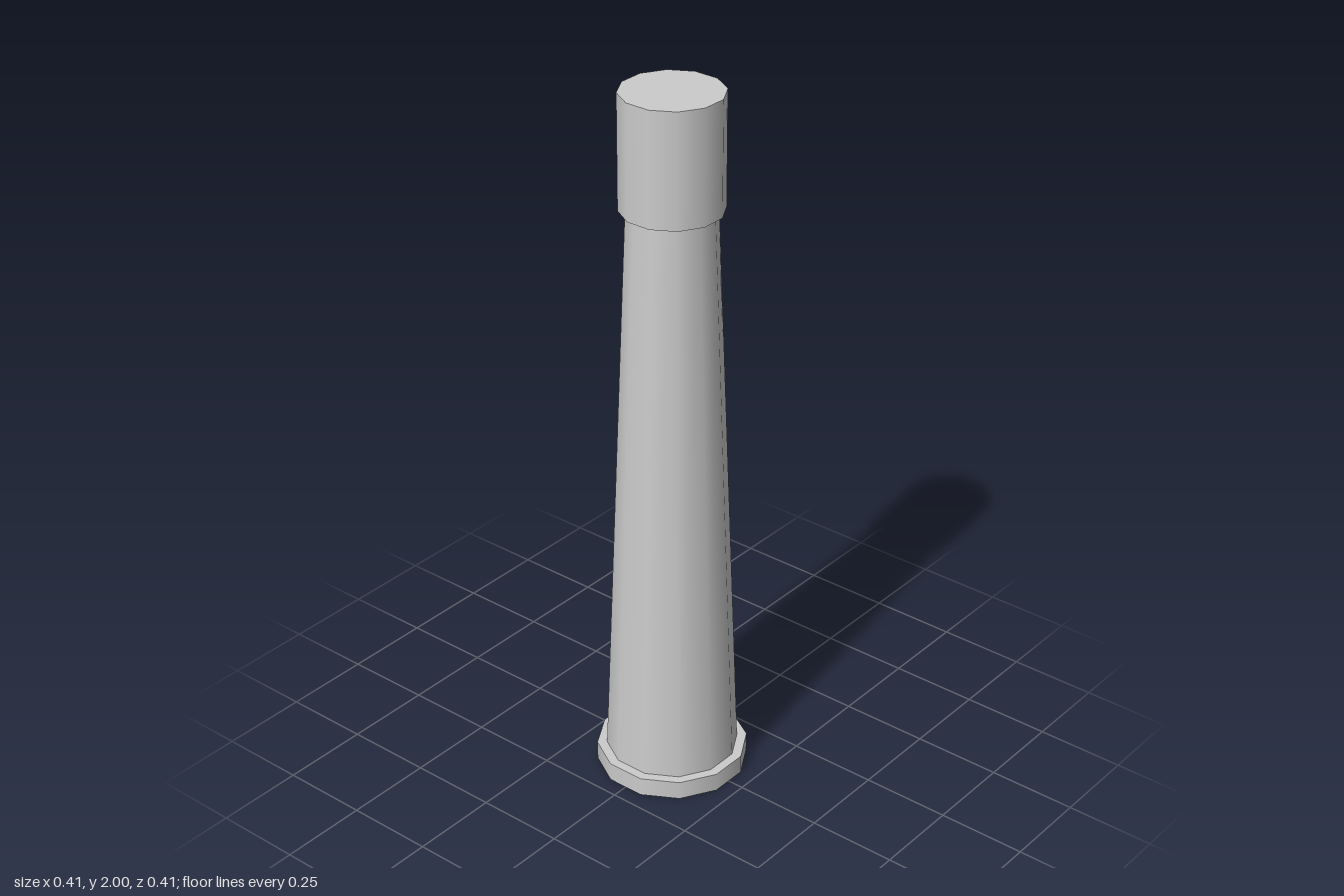
import * as THREE from 'three';

const SIDES = 12;
const material = new THREE.MeshStandardMaterial({ color: 0xcccccc });

// Twelve-sided drum with flats facing the axes; radii are measured to the flats
function drum(name, bottomRadius, topRadius, y0, y1, open = false) {
  const k = 1 / Math.cos(Math.PI / SIDES);
  const geometry = new THREE.CylinderGeometry(
    topRadius * k, bottomRadius * k, y1 - y0, SIDES, 1, open, Math.PI / SIDES);
  const mesh = new THREE.Mesh(geometry, material);
  mesh.name = name;
  mesh.position.y = (y0 + y1) / 2;
  return mesh;
}

export function createModel() {
  const column = new THREE.Group();
  column.name = 'column';
  column.add(
    drum('base', 0.203, 0.203, 0, 0.054),
    // Tapered shaft, its ends closed by the base and the cap
    drum('shaft', 0.177, 0.115, 0.054, 1.683, true),
    drum('cap', 0.133, 0.133, 1.683, 2),
  );
  return column;
}
